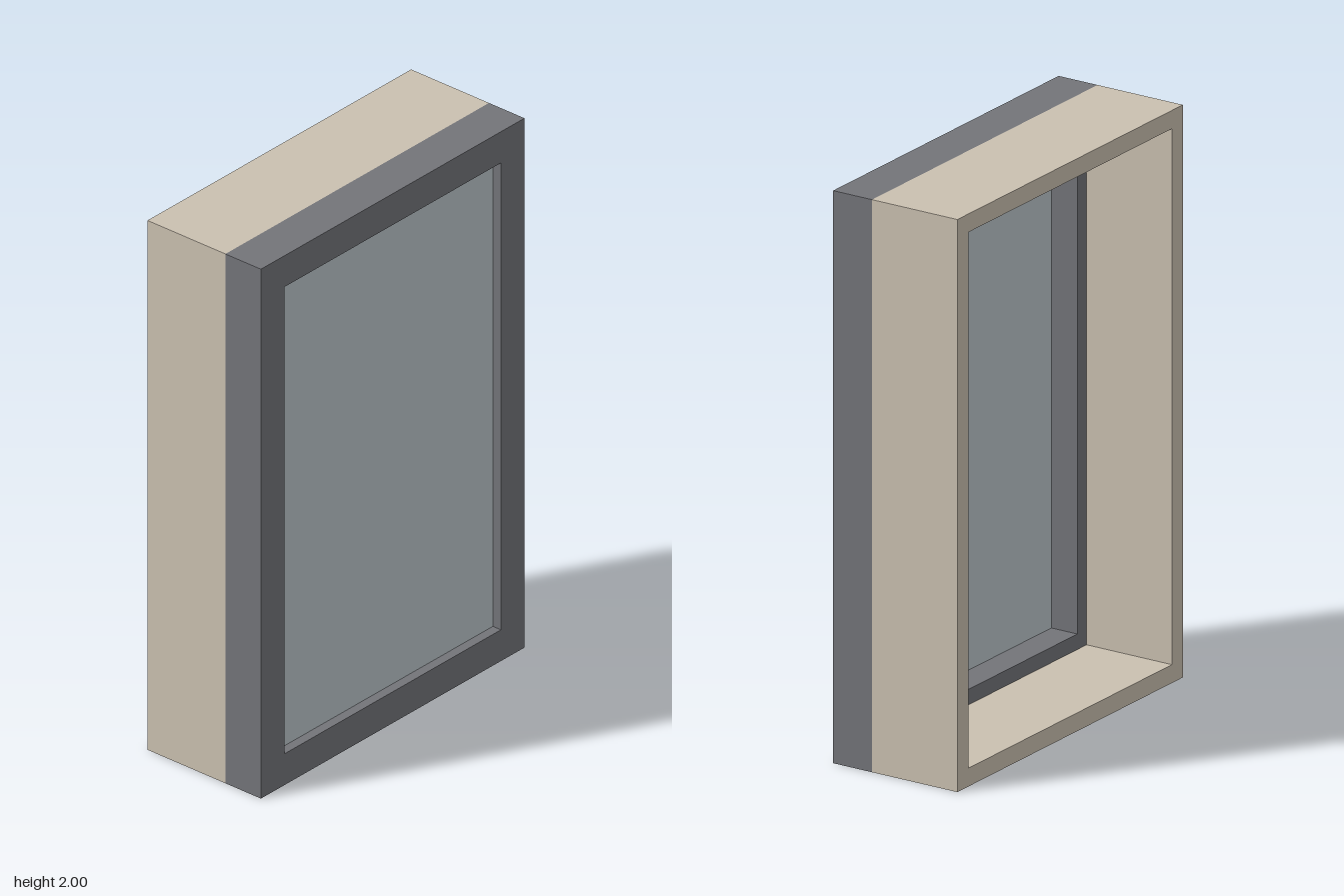
import * as THREE from 'three';

const W = 1.32, H = 2, BACK = -0.246, JOINT = 0.092, FRONT = 0.246;

// Rectangular ring of the given border width, extruded from z0 to z1
function ring(name, border, z0, z1, material) {
  const rect = (Type, w, h) => new Type([
    new THREE.Vector2(-w / 2, -h / 2), new THREE.Vector2(w / 2, -h / 2),
    new THREE.Vector2(w / 2, h / 2), new THREE.Vector2(-w / 2, h / 2),
  ]);
  const shape = rect(THREE.Shape, W, H);
  shape.holes.push(rect(THREE.Path, W - 2 * border, H - 2 * border));
  const geometry = new THREE.ExtrudeGeometry(shape, { depth: z1 - z0, bevelEnabled: false });
  const mesh = new THREE.Mesh(geometry, material);
  mesh.name = name;
  mesh.position.set(0, H / 2, z0);
  return mesh;
}

export function createModel() {
  const paint = (name, color) => {
    const m = new THREE.MeshStandardMaterial({ color });
    m.name = name;
    return m;
  };
  const grey = paint('dark grey', 0x737479);
  const beige = paint('beige', 0xcac0b0);
  const pane = paint('pale blue glass', 0xbbc5ca);

  const group = new THREE.Group();
  group.name = 'window';

  // Deep thin lining behind, wider sash frame in front
  group.add(ring('wallLining', 0.064, BACK, JOINT, beige));
  group.add(ring('sashFrame', 0.118, JOINT, FRONT, grey));

  // Glass pane set back from the front of the sash
  const glass = new THREE.Mesh(new THREE.BoxGeometry(W - 0.236, H - 0.236, 0.016), pane);
  glass.name = 'glassPane';
  glass.position.set(0, H / 2, FRONT - 0.043);
  group.add(glass);

  return group;
}
